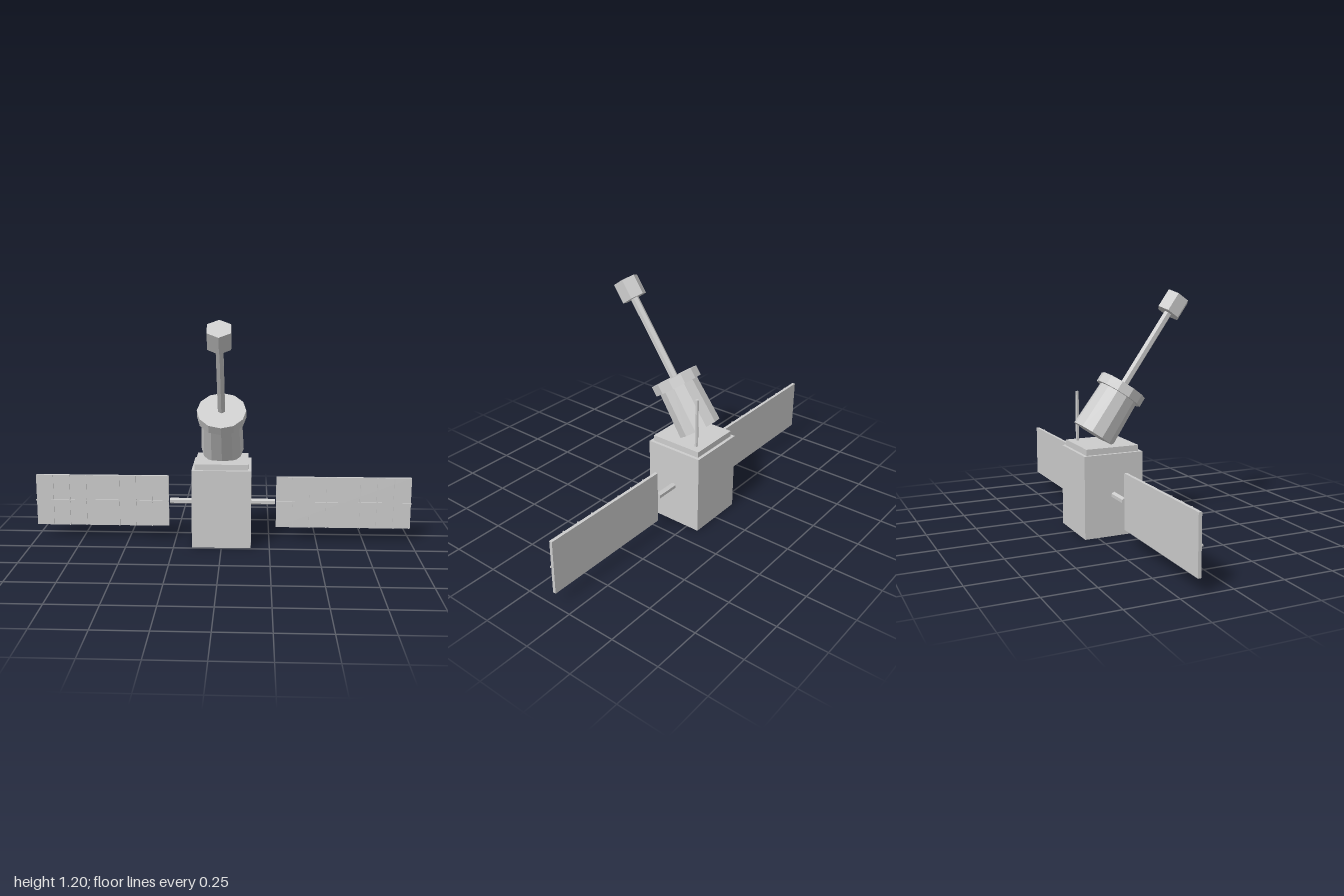
import * as THREE from 'three';

const CZ = -0.163; // depth of the body centre
const ARM_Y = 0.208;

export function createModel() {
  const model = new THREE.Group();
  model.name = 'satellite';
  const grey = new THREE.MeshStandardMaterial({ color: 0xcccccc, flatShading: true });
  grey.name = 'light grey';

  const add = (parent, name, geometry, x, y, z) => {
    const mesh = new THREE.Mesh(geometry, grey);
    mesh.name = name;
    mesh.position.set(x, y, z);
    parent.add(mesh);
    return mesh;
  };
  const box = (parent, name, w, h, d, x, y, z) =>
    add(parent, name, new THREE.BoxGeometry(w, h, d), x, y, z);
  // upright prism from y0 to y1
  const prism = (parent, name, rTop, rBottom, sides, y0, y1, x = 0, z = 0) =>
    add(parent, name, new THREE.CylinderGeometry(rTop, rBottom, y1 - y0, sides), x, (y0 + y1) / 2, z);

  // body and top plate
  box(model, 'body', 0.307, 0.412, 0.307, 0, 0.206, CZ);
  box(model, 'topPlate', 0.275, 0.03, 0.275, 0, 0.427, CZ);

  // antenna rod on the back left corner
  prism(model, 'antenna', 0.009, 0.009, 6, 0.442, 0.694, 0.092, -0.256);

  // tilted telescope, origin at the front of its flange
  const telescope = new THREE.Group();
  telescope.name = 'telescope';
  telescope.position.set(0, 0.7215, -0.043);
  telescope.rotation.x = THREE.MathUtils.degToRad(35);
  model.add(telescope);
  prism(telescope, 'flange', 0.126, 0.126, 12, -0.05, 0);
  prism(telescope, 'barrel', 0.104, 0.112, 12, -0.286, -0.05);
  prism(telescope, 'mast', 0.021, 0.021, 6, 0, 0.433);
  prism(telescope, 'mastHead', 0.065, 0.065, 6, 0.433, 0.534);

  // solar wings on both sides
  const x0 = 0.286, x1 = 0.997, width = x1 - x0, height = 0.276;
  for (const side of [1, -1]) {
    const wing = new THREE.Group();
    wing.name = side > 0 ? 'leftWing' : 'rightWing';
    model.add(wing);

    const armGeometry = new THREE.CylinderGeometry(0.016, 0.016, 0.127, 6);
    armGeometry.rotateY(Math.PI / 2).rotateZ(Math.PI / 2);
    add(wing, 'arm', armGeometry, side * 0.2155, ARM_Y, CZ);

    box(wing, 'panel', width, height, 0.016, side * (x0 + x1) / 2, ARM_Y, CZ + 0.002);

    // raised ribs on the front of the panel
    const ribZ = CZ + 0.012;
    box(wing, 'longRib', 1 - x0, 0.008, 0.006, side * (x0 + 1) / 2, ARM_Y, ribZ);
    for (const i of [1, 2, 3, 5, 6, 7]) {
      box(wing, 'crossRib', 0.006, height, 0.006, side * (x0 + width * i / 8), ARM_Y, ribZ);
    }
  }
  return model;
}
